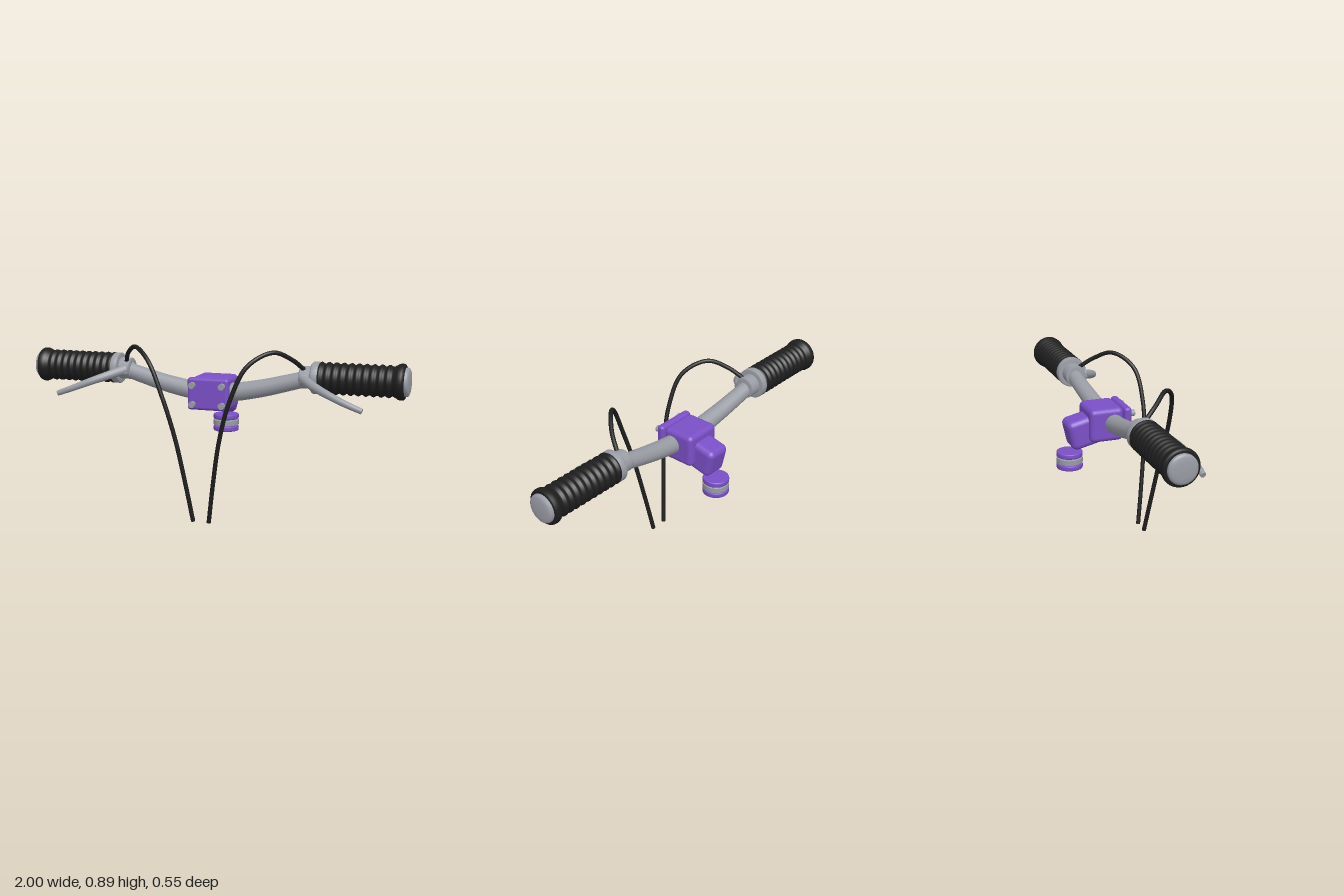
import * as THREE from 'three';
import { RoundedBoxGeometry } from 'three/addons/geometries/RoundedBoxGeometry.js';

const mat = (name, color) => {
  const m = new THREE.MeshStandardMaterial({ color });
  m.name = name;
  return m;
};

const AXIS_Y = 0.735, AXIS_Z = -0.018; // centre line of the grips

export function createModel() {
  const purple = mat('purple', 0x7a4fc6);
  const metal = mat('grey metal', 0x9a9ca5);
  const rubber = mat('black rubber', 0x1e1e1e);
  const model = new THREE.Group();
  model.name = 'handlebar';

  const add = (name, geometry, material, x = 0, y = 0, z = 0, parent = model) => {
    const mesh = new THREE.Mesh(geometry, material);
    mesh.name = name;
    mesh.position.set(x, y, z);
    parent.add(mesh);
    return mesh;
  };

  // Round tube through points, its radius running from r0 to r1, with flat ends
  const tube = (name, points, radiusAt, material, segments) => {
    const curve = new THREE.CatmullRomCurve3(points.map((p) => new THREE.Vector3(...p)));
    const radial = 16;
    const geo = new THREE.TubeGeometry(curve, segments, 1, radial);
    const pos = geo.attributes.position, v = new THREE.Vector3();
    for (let i = 0; i <= segments; i++) {
      const t = i / segments, c = curve.getPointAt(t);
      for (let j = 0; j <= radial; j++) {
        const k = i * (radial + 1) + j;
        v.fromBufferAttribute(pos, k).sub(c).multiplyScalar(radiusAt(t)).add(c);
        pos.setXYZ(k, v.x, v.y, v.z);
      }
    }
    add(name, geo, material);
    for (const t of [0, 1]) {
      const c = curve.getPointAt(t), dir = curve.getTangentAt(t).multiplyScalar(t ? 1 : -1);
      const end = add(name + 'End', new THREE.CircleGeometry(radiusAt(t), radial), material, c.x, c.y, c.z);
      end.quaternion.setFromUnitVectors(new THREE.Vector3(0, 0, 1), dir);
    }
  };

  // Part turned around the grip axis from [x, radius] pairs, on side s
  const turned = (name, profile, material, s) => {
    const geo = new THREE.LatheGeometry(profile.map(([x, r]) => new THREE.Vector2(r, x)), 40);
    add(name, geo, material, 0, AXIS_Y, AXIS_Z).rotation.z = -s * Math.PI / 2;
  };

  // Rising bar, thicker in the middle
  const half = [[0.12, 0.645, -0.001], [0.26, 0.67, -0.006], [0.4, 0.705, -0.014], [0.5, 0.73, -0.018], [0.6, AXIS_Y, AXIS_Z]];
  const mirrored = half.map(([x, y, z]) => [-x, y, z]).reverse();
  tube('bar', [...mirrored, [0, 0.637, 0], ...half], (t) => 0.05 - 0.012 * Math.abs(2 * t - 1), metal, 64);

  // Ribbed grip profile with a flange at the outer end
  const grip = [[0.55, 0.03], [0.55, 0.074], [0.556, 0.079]];
  const ribs = 10, steps = 8;
  for (let i = 0; i <= ribs * steps; i++) {
    grip.push([0.56 + 0.375 * i / (ribs * steps), 0.0765 + 0.0045 * Math.cos(2 * Math.PI * i / steps)]);
  }
  grip.push([0.942, 0.086], [0.95, 0.089], [0.964, 0.089], [0.972, 0.086], [0.976, 0.078], [0.976, 0.03]);

  for (const s of [1, -1]) {
    const side = (p) => p.map(([x, y, z]) => [s * x, y, z]);
    turned('grip', grip, rubber, s);
    turned('endCap', [[0.96, 0.071], [0.985, 0.071], [0.991, 0.068], [0.996, 0.058], [0.999, 0.035], [1, 0]], metal, s);
    turned('collar', [[0.515, 0.03], [0.515, 0.074], [0.521, 0.08], [0.55, 0.08], [0.556, 0.074], [0.556, 0.03]], metal, s);
    turned('leverClamp', [[0.455, 0.03], [0.455, 0.052], [0.46, 0.056], [0.52, 0.056]], metal, s);

    // Brake lever and its pivot
    add('leverPivot', new RoundedBoxGeometry(0.055, 0.058, 0.07, 4, 0.02), metal, s * 0.485, 0.73, 0.022);
    tube('brakeLever', side([[0.475, 0.735, 0.03], [0.54, 0.711, 0.09], [0.62, 0.682, 0.136], [0.72, 0.643, 0.16], [0.802, 0.613, 0.164]]),
      (t) => 0.025 - 0.011 * t, metal, 32);

    // Looping cable
    tube('cable', side([[0.482, 0.77, 0], [0.435, 0.832, 0.08], [0.36, 0.873, 0.158], [0.255, 0.81, 0.24], [0.175, 0.64, 0.263],
      [0.117, 0.44, 0.247], [0.073, 0.2, 0.217], [0.042, 0, 0.19]]), () => 0.011, rubber, 72);
  }

  // Stem: clamp body, face plate, sloping arm
  add('stemClamp', new RoundedBoxGeometry(0.2, 0.172, 0.176, 4, 0.025), purple, 0, 0.634, -0.035);
  add('facePlate', new RoundedBoxGeometry(0.22, 0.165, 0.04, 4, 0.016), purple, 0, 0.637, 0.072);
  add('stemArm', new RoundedBoxGeometry(0.134, 0.154, 0.16, 5, 0.03), purple, 0, 0.594, -0.14).rotation.x = -0.23;

  // Face plate bolts
  for (const x of [-0.079, 0.079]) {
    for (const y of [0.584, 0.682]) {
      add('bolt', new THREE.CylinderGeometry(0.0165, 0.0165, 0.033, 20), metal, x, y, 0.097).rotation.x = Math.PI / 2;
    }
  }

  // Stack of three headset rings with softened rims
  const ring = (name, y, h, bevel, material) => {
    const r = 0.067, a = h / 2;
    const profile = [[0, -a], [r - bevel, -a], [r - bevel * 0.3, -a + bevel * 0.3], [r, -a + bevel],
      [r, a - bevel], [r - bevel * 0.3, a - bevel * 0.3], [r - bevel, a], [0, a]];
    add(name, new THREE.LatheGeometry(profile.map((p) => new THREE.Vector2(...p)), 40), material, 0, y, -0.206);
  };
  ring('upperRing', 0.4765, 0.027, 0.006, purple);
  ring('spacerRing', 0.445, 0.029, 0.002, metal);
  ring('lowerRing', 0.4135, 0.027, 0.006, purple);

  return model;
}
